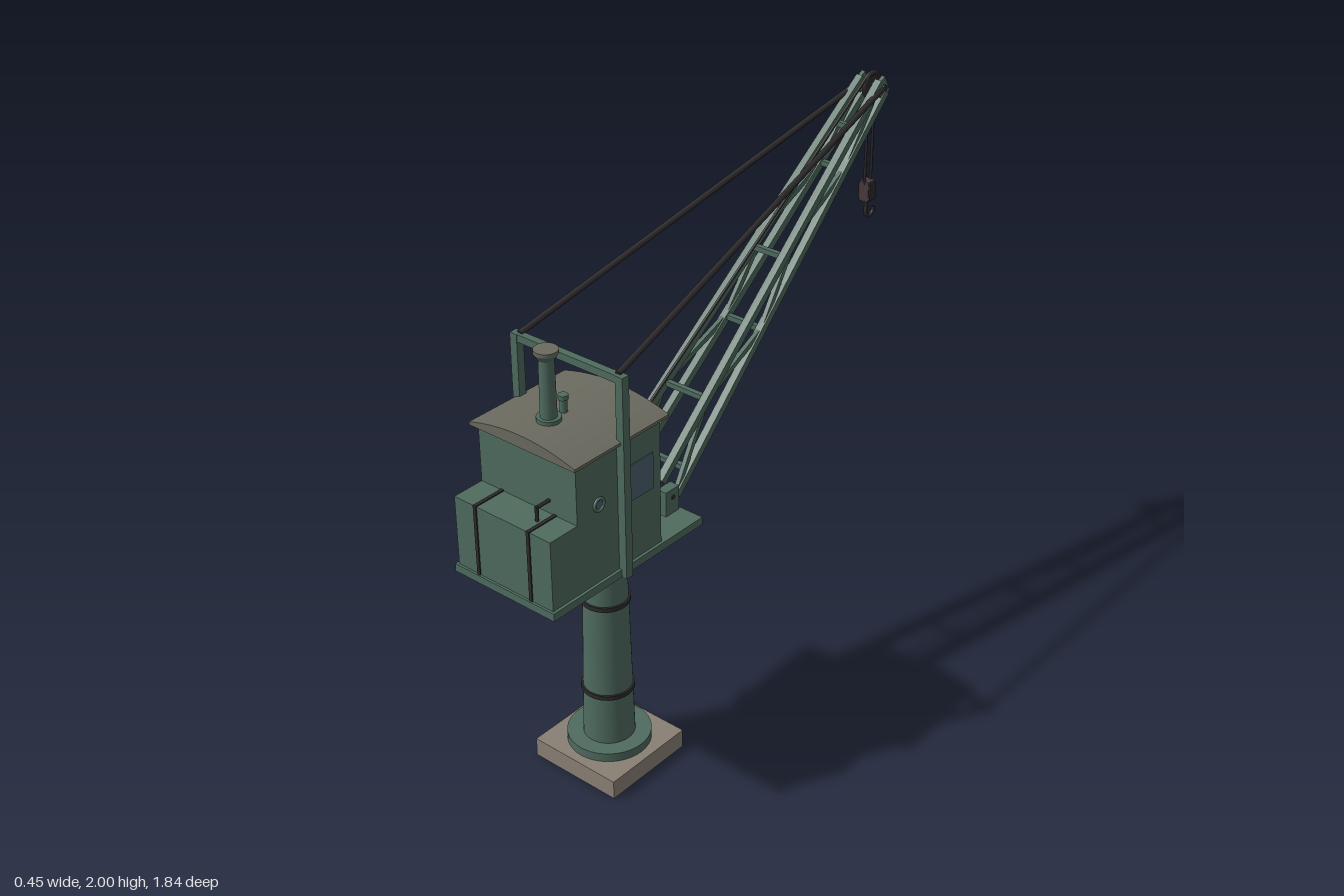
import * as THREE from 'three';

const mat = (color) => new THREE.MeshStandardMaterial({ color, side: THREE.DoubleSide });
const V = (x, y, z) => new THREE.Vector3(x, y, z);

export function createModel() {
  const green = mat(0x4f6b5f), dark = mat(0x2d2a2c), roofGrey = mat(0x6a6a5f);
  const stone = mat(0x8a8074), glass = mat(0x4a5f6c), drumRed = mat(0x4a3a3d);
  const model = new THREE.Group();
  const group = (name) => {
    const g = new THREE.Group();
    g.name = name;
    model.add(g);
    return g;
  };
  const add = (parent, name, geo, m, x = 0, y = 0, z = 0) => {
    const mesh = new THREE.Mesh(geo, m);
    mesh.name = name;
    mesh.position.set(x, y, z);
    parent.add(mesh);
    return mesh;
  };
  // box given by its lower and upper corners
  const box = (p, name, m, x0, x1, y0, y1, z0, z1) =>
    add(p, name, new THREE.BoxGeometry(x1 - x0, y1 - y0, z1 - z0), m, (x0 + x1) / 2, (y0 + y1) / 2, (z0 + z1) / 2);
  // upright round part from y0 to y1
  const post = (p, name, m, r0, r1, y0, y1, z, x = 0, seg = 32) =>
    add(p, name, new THREE.CylinderGeometry(r1, r0, y1 - y0, seg), m, x, (y0 + y1) / 2, z);
  // round part lying along x
  const axle = (p, name, m, r, x0, x1, y, z) => {
    const a = add(p, name, new THREE.CylinderGeometry(r, r, x1 - x0, 28), m, (x0 + x1) / 2, y, z);
    a.rotation.z = Math.PI / 2;
    return a;
  };
  const rod = (p, name, m, a, b, r) => {
    const o = add(p, name, new THREE.CylinderGeometry(r, r, a.distanceTo(b), 8), m);
    o.position.copy(a).lerp(b, 0.5);
    o.quaternion.setFromUnitVectors(V(0, 1, 0), b.clone().sub(a).normalize());
    return o;
  };
  const beam = (p, name, m, a, b, w, h = w) => {
    const o = add(p, name, new THREE.BoxGeometry(w, h, a.distanceTo(b)), m);
    o.position.copy(a).lerp(b, 0.5);
    o.lookAt(b);
    return o;
  };

  // Pedestal
  const C = 0.482;
  const pedestal = group('pedestal');
  box(pedestal, 'plinth', stone, -0.172, 0.172, 0, 0.068, C - 0.172, C + 0.172);
  post(pedestal, 'baseFlange', green, 0.14, 0.14, 0.068, 0.1, C, 0, 40);
  post(pedestal, 'column', green, 0.086, 0.07, 0.1, 0.83, C, 0, 40);
  post(pedestal, 'lowerBand', dark, 0.088, 0.088, 0.278, 0.294, C);
  post(pedestal, 'upperBand', dark, 0.081, 0.081, 0.622, 0.638, C);
  post(pedestal, 'slewingRing', green, 0.15, 0.15, 0.83, 0.871, C, 0, 40);

  // Deck and cabin, open towards the jib
  const cabin = group('cabin');
  box(cabin, 'deck', green, -0.205, 0.205, 0.87, 0.897, 0.247, 0.922);
  box(cabin, 'rearWall', green, -0.195, 0.195, 0.897, 1.34, 0.782, 0.8);
  for (const s of [-1, 1]) {
    const a = s * 0.195, b = s * 0.18, c = s * 0.16;
    box(cabin, 'sideWall', green, Math.min(a, b), Math.max(a, b), 0.897, 1.34, 0.432, 0.79);
    box(cabin, 'frontPost', green, Math.min(b, c), Math.max(b, c), 0.897, 1.34, 0.432, 0.455);
  }
  box(cabin, 'frontHeader', green, -0.18, 0.18, 1.29, 1.34, 0.432, 0.455);
  box(cabin, 'rightWindow', glass, 0.19, 0.198, 1.11, 1.235, 0.467, 0.585);
  box(cabin, 'door', green, -0.2, -0.19, 0.905, 1.28, 0.462, 0.588);
  box(cabin, 'doorWindow', glass, -0.203, -0.19, 1.11, 1.235, 0.48, 0.57);
  axle(cabin, 'portholeGlass', glass, 0.02, 0.19, 0.2, 1.17, 0.71);
  const rim = add(cabin, 'portholeRim', new THREE.TorusGeometry(0.02, 0.005, 8, 24), green, 0.2, 1.17, 0.71);
  rim.rotation.y = Math.PI / 2;

  // Arched roof
  const arch = new THREE.Shape();
  arch.moveTo(-0.212, 1.335);
  arch.lineTo(0.212, 1.335);
  arch.lineTo(0.212, 1.345);
  arch.quadraticCurveTo(0, 1.41, -0.212, 1.345);
  add(cabin, 'roof', new THREE.ExtrudeGeometry(arch, { depth: 0.41, bevelEnabled: false, curveSegments: 20 }), roofGrey, 0, 0, 0.41);

  // Chimney and vent
  post(cabin, 'chimneyFoot', green, 0.038, 0.038, 1.36, 1.39, 0.7);
  post(cabin, 'chimney', green, 0.026, 0.024, 1.38, 1.58, 0.7);
  post(cabin, 'chimneyFlare', green, 0.026, 0.038, 1.58, 1.6, 0.7);
  post(cabin, 'chimneyLip', roofGrey, 0.038, 0.038, 1.6, 1.612, 0.7);
  post(cabin, 'ventPipe', green, 0.012, 0.012, 1.37, 1.42, 0.637, 0, 16);
  post(cabin, 'ventCap', green, 0.016, 0.016, 1.42, 1.435, 0.637, 0, 16);

  // Rear tank with straps and a filler pipe
  const tank = group('rearTank');
  box(tank, 'tankBody', green, -0.195, 0.195, 0.897, 1.138, 0.8, 0.914);
  for (const s of [-1, 1]) box(tank, 'strap', dark, s * 0.108 - 0.006, s * 0.108 + 0.006, 0.897, 1.142, 0.8, 0.918);
  rod(tank, 'fillerRiser', dark, V(0.086, 1.13, 0.853), V(0.086, 1.188, 0.853), 0.006);
  rod(tank, 'fillerElbow', dark, V(0.086, 1.183, 0.857), V(0.086, 1.183, 0.79), 0.006);

  // Winch and boiler inside the cabin
  const winch = group('winch');
  axle(winch, 'drum', drumRed, 0.05, -0.1, 0.1, 1.05, 0.5);
  for (const s of [-1, 1]) {
    axle(winch, 'drumFlange', drumRed, 0.065, s * 0.105 - 0.006, s * 0.105 + 0.006, 1.05, 0.5);
    box(winch, 'winchFrame', green, s * 0.13 - 0.01, s * 0.13 + 0.01, 0.897, 1.08, 0.47, 0.53);
  }
  axle(winch, 'winchShaft', dark, 0.012, -0.15, 0.15, 1.05, 0.5);
  post(winch, 'boiler', green, 0.1, 0.1, 0.897, 1.335, 0.67);

  // Gantry and stays
  const gantry = group('gantry');
  for (const s of [-1, 1]) {
    box(gantry, 'gantryPost', green, s * 0.209 - 0.014, s * 0.209 + 0.014, 0.87, 1.56, 0.595, 0.624);
    rod(gantry, 'stay', dark, V(s * 0.195, 1.56, 0.61), V(s * 0.047, 1.95, -0.87), 0.01);
  }
  box(gantry, 'gantryBeam', green, -0.223, 0.223, 1.535, 1.56, 0.597, 0.622);

  // Lattice jib: t runs from foot to tip of each chord
  const jib = group('jib');
  const upper = (t, s) => V(s * (0.097 - 0.06 * t), 1.02 + 0.95 * t, 0.32 - 1.18 * t);
  const lower = (t, s) => V(s * (0.097 - 0.06 * t), 0.94 + 0.99 * t, 0.25 - 1.14 * t);
  for (const s of [-1, 1]) {
    beam(jib, 'upperChord', green, upper(0, s), upper(1, s), 0.025, 0.026);
    beam(jib, 'lowerChord', green, lower(0, s), lower(1, s), 0.025, 0.026);
    for (let i = 0; i < 5; i++) {
      const [p, q] = i % 2 ? [upper, lower] : [lower, upper];
      beam(jib, 'lacing', green, p(i / 5, s), q((i + 1) / 5, s), 0.015, 0.018);
    }
    box(jib, 'footBracket', green, s * 0.1 - 0.018, s * 0.1 + 0.018, 0.897, 0.985, 0.257, 0.32);
    beam(jib, 'tipPlate', green, V(s * 0.04, 1.92, -0.885), V(s * 0.04, 1.975, -0.855), 0.014, 0.05);
  }
  for (const t of [0.2, 0.55, 0.88]) beam(jib, 'upperCrossbar', green, upper(t, -1), upper(t, 1), 0.018);
  for (const t of [0.06, 0.4, 0.8]) beam(jib, 'lowerCrossbar', green, lower(t, -1), lower(t, 1), 0.018);
  axle(jib, 'footPin', dark, 0.009, -0.12, 0.12, 0.955, 0.285);

  // Head sheave
  const head = group('headSheave');
  axle(head, 'sheaveCore', dark, 0.04, -0.006, 0.006, 1.95, -0.87);
  const groove = add(head, 'sheaveRim', new THREE.TorusGeometry(0.041, 0.009, 10, 32), dark, 0, 1.95, -0.87);
  groove.rotation.y = Math.PI / 2;
  axle(head, 'sheaveAxle', dark, 0.011, -0.056, 0.056, 1.95, -0.87);

  // Hoist ropes, block and hook
  const hoist = group('hoist');
  rod(hoist, 'hoistRope', dark, V(0, 1.092, 0.47), V(0, 1.988, -0.845), 0.005);
  for (const z of [-0.854, -0.888]) rod(hoist, 'fallRope', dark, V(0, 1.95, z), V(0, 1.6, z), 0.005);
  box(hoist, 'hookBlock', drumRed, -0.018, 0.018, 1.538, 1.61, -0.89, -0.852);
  for (const s of [-1, 1]) box(hoist, 'blockCheek', dark, s * 0.02 - 0.004, s * 0.02 + 0.004, 1.545, 1.603, -0.888, -0.854);
  const hookPath = new THREE.CatmullRomCurve3([
    V(0, 1.545, -0.87), V(0, 1.515, -0.868), V(0, 1.487, -0.868),
    V(0, 1.473, -0.888), V(0, 1.482, -0.908), V(0, 1.5, -0.912),
  ]);
  add(hoist, 'hook', new THREE.TubeGeometry(hookPath, 24, 0.007, 8), dark);

  return model;
}
